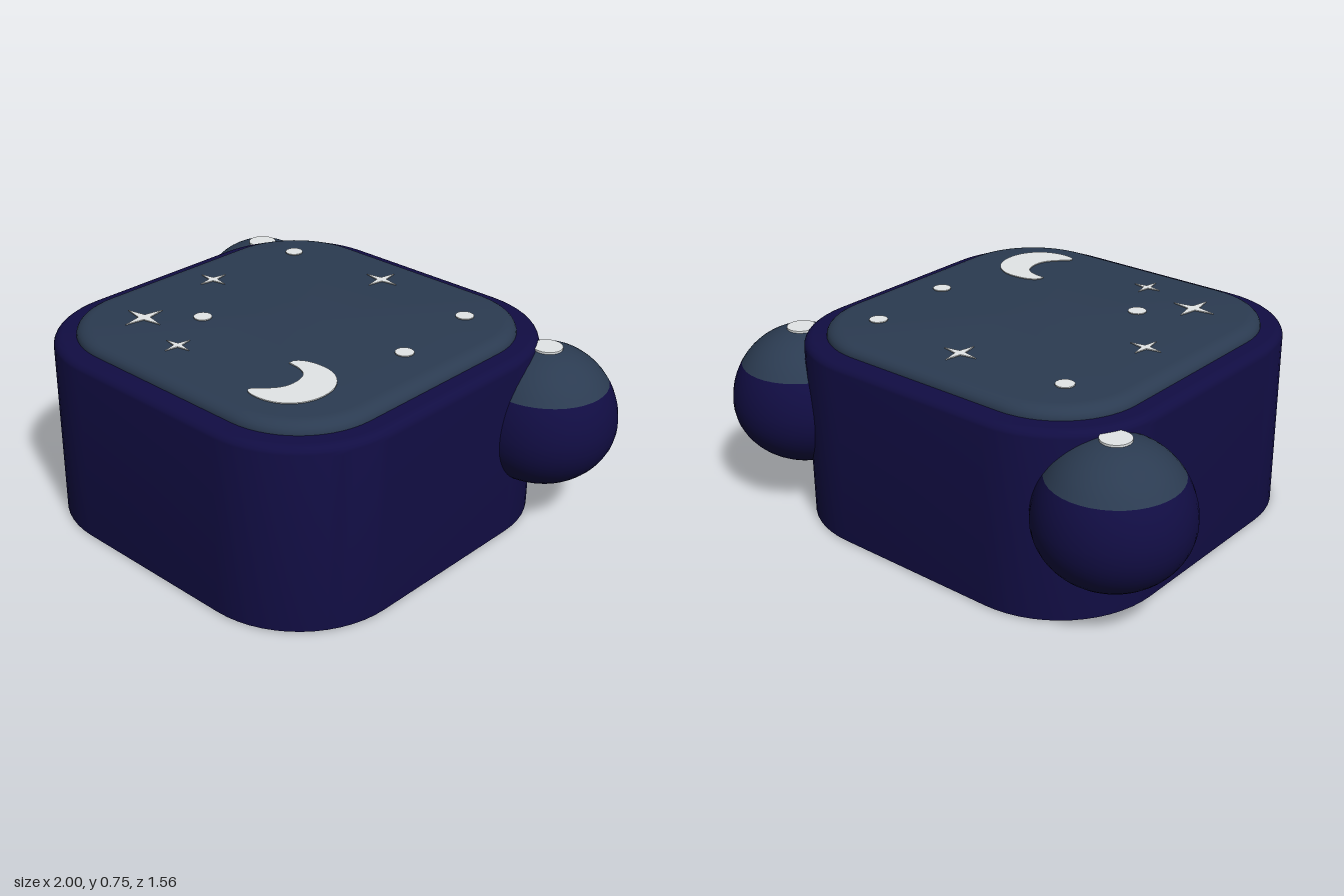
import * as THREE from 'three';
import { toCreasedNormals } from 'three/addons/utils/BufferGeometryUtils.js';

const mat = (name, color) => new THREE.MeshStandardMaterial({ name, color });

// Rounded-square footprint, shrunk by an inset
const HALF = 0.74, CORNER = 0.4, CENTRE_Z = 0.035, STEPS = 14;
function ring(y, inset) {
  const r = CORNER - inset, c = HALF - CORNER, pts = [];
  for (let q = 0; q < 4; q++) {
    const sx = q === 0 || q === 3 ? c : -c, sz = q < 2 ? c : -c;
    for (let i = 0; i <= STEPS; i++) {
      const a = (q + i / STEPS) * Math.PI / 2;
      pts.push([sx + r * Math.cos(a), y, CENTRE_Z + sz + r * Math.sin(a)]);
    }
  }
  return pts;
}

// Closed solid through a list of [height, inset] sections, bottom to top
function loft(sections) {
  const pos = [], idx = [];
  const rings = sections.map(([y, inset]) => ring(y, inset));
  const n = rings[0].length, last = (rings.length - 1) * n;
  rings.flat().forEach(p => pos.push(...p));
  for (let s = 0; s < rings.length - 1; s++) {
    for (let i = 0; i < n; i++) {
      const a = s * n + i, b = s * n + (i + 1) % n;
      idx.push(a, a + n, b, b, a + n, b + n);
    }
  }
  const bottom = rings.length * n, top = bottom + 1;
  pos.push(0, sections[0][0], CENTRE_Z, 0, sections.at(-1)[0], CENTRE_Z);
  for (let i = 0; i < n; i++) {
    const j = (i + 1) % n;
    idx.push(bottom, i, j, top, last + j, last + i);
  }
  const geo = new THREE.BufferGeometry();
  geo.setAttribute('position', new THREE.Float32BufferAttribute(pos, 3));
  geo.setIndex(idx);
  return toCreasedNormals(geo, 0.6);
}

// Quarter-round edge running from the wall up to the top face
function roundEdge(y, inset, height, width) {
  return Array.from({ length: 7 }, (_, i) => {
    const a = i / 6 * Math.PI / 2;
    return [y + height * Math.sin(a), inset + width * (1 - Math.cos(a))];
  });
}

function starShape(r) {
  const s = new THREE.Shape(), k = r * 0.24;
  for (let i = 0; i < 8; i++) {
    const a = i * Math.PI / 4, d = i % 2 ? k : r;
    const x = d * Math.cos(a), y = d * Math.sin(a);
    if (i) s.lineTo(x, y); else s.moveTo(x, y);
  }
  s.closePath();
  return s;
}

// Crescent, drawn with y pointing to the back
function moonShape() {
  const s = new THREE.Shape();
  s.moveTo(0.245, -0.305);
  s.bezierCurveTo(0.26, -0.275, 0.30, -0.265, 0.35, -0.265);
  s.bezierCurveTo(0.43, -0.265, 0.495, -0.33, 0.495, -0.42);
  s.bezierCurveTo(0.495, -0.51, 0.43, -0.575, 0.34, -0.575);
  s.bezierCurveTo(0.29, -0.575, 0.265, -0.56, 0.30, -0.53);
  s.bezierCurveTo(0.345, -0.49, 0.365, -0.46, 0.36, -0.41);
  s.bezierCurveTo(0.355, -0.35, 0.32, -0.325, 0.245, -0.325);
  s.closePath();
  return s;
}

export function createModel() {
  const group = new THREE.Group();
  const navy = mat('navy', 0x110d43);
  const slate = mat('slate blue', 0x2b3b51);
  const pale = mat('pale grey', 0xecf0f1);

  const add = (name, geo, material, x = 0, y = 0, z = 0) => {
    const mesh = new THREE.Mesh(geo, material);
    mesh.name = name;
    mesh.position.set(x, y, z);
    group.add(mesh);
  };
  const plate = shape =>
    new THREE.ExtrudeGeometry(shape, { depth: 0.004, bevelEnabled: false, curveSegments: 12 }).rotateX(-Math.PI / 2);

  // Body, raised lid panel and base panel
  add('body', loft([[0.003, 0], ...roundEdge(0.67, 0, 0.035, 0.035)]), navy);
  add('topPanel', loft([[0.69, 0.083], ...roundEdge(0.705, 0.083, 0.04, 0.055)]), slate);
  add('basePanel', loft([[0, 0.07], [0.006, 0.07]]), slate);

  // Round ears with a slate cap and a pale spot on top
  const lower = [];
  for (let i = 0; i <= 14; i++) {
    const a = (i / 14 - 1) * Math.PI / 2;
    lower.push(new THREE.Vector2(0.275 * Math.cos(a), 0.4 + 0.235 * Math.sin(a)));
  }
  const upper = (from, to) => Array.from({ length: 11 }, (_, i) => {
    const a = from + (to - from) * i / 10;
    return new THREE.Vector2(0.275 * Math.cos(a), 0.4 + 0.285 * Math.sin(a));
  });
  const seam = Math.asin(0.155 / 0.285);
  const earGeo = new THREE.LatheGeometry([...lower, ...upper(0, seam).slice(1)], 40);
  const capGeo = new THREE.LatheGeometry(upper(seam, Math.PI / 2), 40);
  const spotGeo = new THREE.CylinderGeometry(0.055, 0.055, 0.008, 24);
  for (const [side, x] of [['left', 0.725], ['right', -0.725]]) {
    add(side + 'Ear', earGeo, navy, x, 0, -0.505);
    add(side + 'EarCap', capGeo, slate, x, 0, -0.505);
    add(side + 'EarSpot', spotGeo, pale, x, 0.684, -0.505);
  }

  // Night-sky decoration on the lid
  const SKY = 0.75;
  for (const [x, z, r] of [[0, -0.43, 0.073], [-0.465, 0.015, 0.064], [-0.39, 0.425, 0.087], [-0.13, 0.495, 0.058]])
    add('star', plate(starShape(r)), pale, x, SKY, z);
  const dot = new THREE.CylinderGeometry(0.034, 0.034, 0.004, 16);
  for (const [x, z] of [[-0.437, -0.4], [0.435, -0.39], [0.473, -0.01], [-0.243, 0.273]])
    add('dotStar', dot, pale, x, SKY + 0.002, z);
  add('moon', plate(moonShape()), pale, 0, SKY, 0);

  return group;
}
